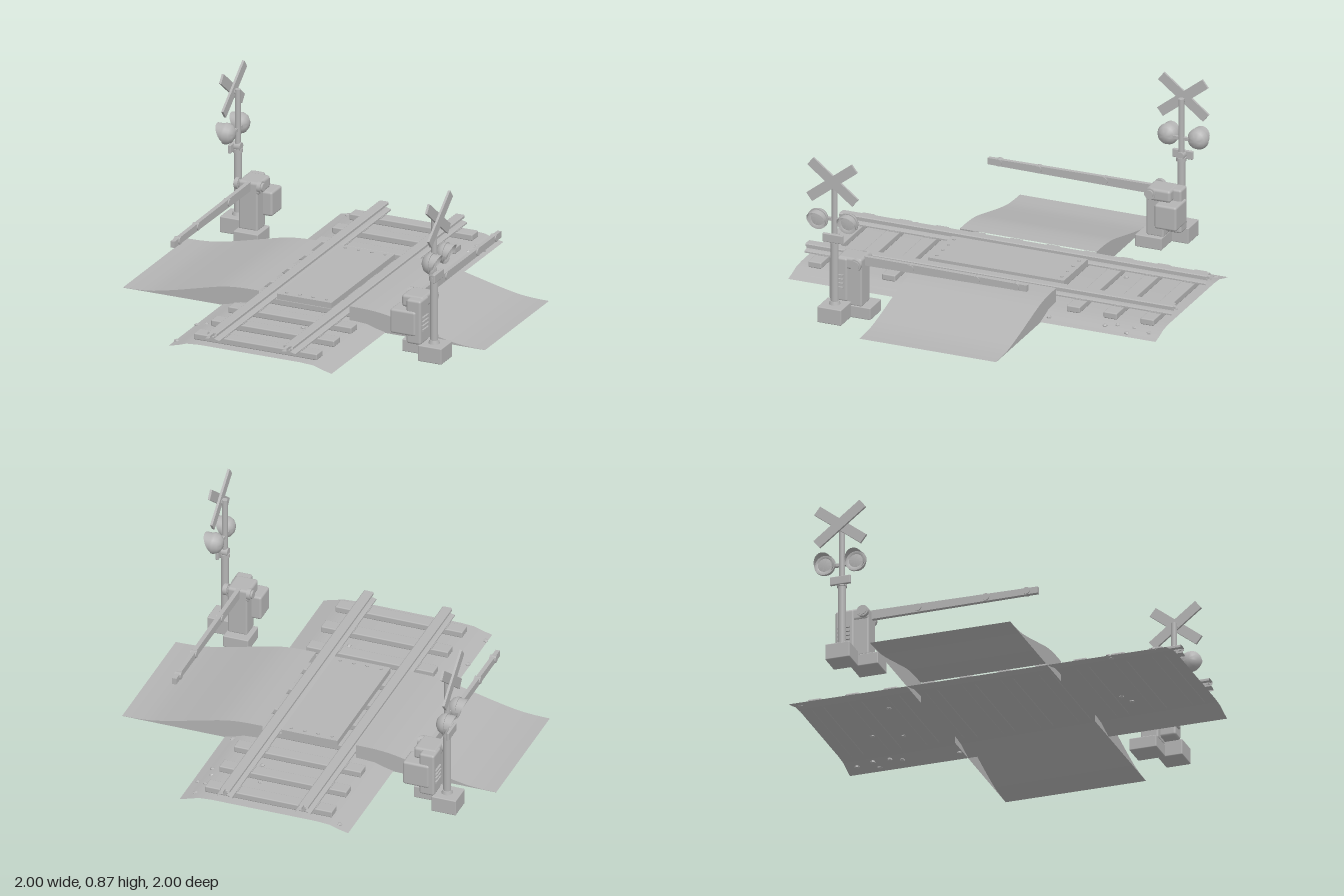
import * as THREE from 'three';
import { RoundedBoxGeometry } from 'three/addons/geometries/RoundedBoxGeometry.js';
import { toCreasedNormals } from 'three/addons/utils/BufferGeometryUtils.js';

const grey = new THREE.MeshStandardMaterial({ color: 0xb4b4b4, side: THREE.DoubleSide });
grey.name = 'plain grey';

function add(parent, name, geometry, x = 0, y = 0, z = 0) {
  const mesh = new THREE.Mesh(geometry, grey);
  mesh.name = name;
  mesh.position.set(x, y, z);
  parent.add(mesh);
  return mesh;
}

// Box given by its limits, with softened edges if r > 0
function box(parent, name, x0, x1, y0, y1, z0, z1, r = 0) {
  const size = [x1 - x0, y1 - y0, z1 - z0];
  const geo = r ? new RoundedBoxGeometry(...size, 2, r) : new THREE.BoxGeometry(...size);
  return add(parent, name, geo, (x0 + x1) / 2, (y0 + y1) / 2, (z0 + z1) / 2);
}

// Cylinder along the x axis
function disc(parent, name, r, length, x, y, z, sides = 20) {
  const geo = new THREE.CylinderGeometry(r, r, length, sides).rotateZ(Math.PI / 2);
  return add(parent, name, geo, x, y, z);
}

// Open sheet: a profile of [x, y] points swept along z
function sheet(profile, z0, z1) {
  const n = profile.length;
  const geo = new THREE.PlaneGeometry(1, 1, n - 1, 1);
  const pos = geo.attributes.position;
  for (let i = 0; i < pos.count; i++) {
    const [x, y] = profile[i % n];
    pos.setXYZ(i, x, y, i < n ? z0 : z1);
  }
  return toCreasedNormals(geo, 0.5);
}

function buildTrack(parent) {
  const track = new THREE.Group();
  track.name = 'track';
  parent.add(track);

  add(track, 'ballastBed', sheet([[-0.45, 0.003], [-0.4, 0.015], [-0.35, 0.031], [-0.28, 0.036],
    [0.28, 0.036], [0.35, 0.031], [0.4, 0.015], [0.45, 0.003]], -1, 1));

  for (let i = 0; i < 10; i++) {
    const z = -0.905 + i * 0.2011;
    box(track, 'sleeper', -0.34, 0.34, 0.034, 0.068, z - 0.036, z + 0.036, 0.006);
    for (const s of [-1, 1]) {
      box(track, 'tiePlate', s * 0.21 - 0.044, s * 0.21 + 0.044, 0.066, 0.072, z - 0.03, z + 0.03);
    }
  }

  // Rails are open at the ends
  const half = [[0.04, 0.068], [0.04, 0.075], [0.01, 0.082], [0.01, 0.094], [0.026, 0.097], [0.026, 0.108], [0.021, 0.112]];
  const rail = [...half.map(([x, y]) => [-x, y]), ...[...half].reverse()];
  for (const x of [-0.21, 0.21]) add(track, 'rail', sheet(rail, -1, 1), x);

  // Panel between the rails, with bolts at both ends
  box(track, 'crossingPanel', -0.15, 0.15, 0.08, 0.11, -0.37, 0.37);
  for (const z of [-0.34, 0.34]) {
    for (let i = 0; i < 4; i++) {
      add(track, 'panelBolt', new THREE.CylinderGeometry(0.009, 0.009, 0.006, 8), -0.11 + i * 0.073, 0.112, z);
    }
  }

  // Loose stones
  const stones = [[-0.39, -0.96], [0.39, -0.94], [0.37, -0.85], [0.42, -0.83], [0.37, -0.76],
    [0.39, -0.7], [0.4, -0.4], [0.11, -0.76], [0.16, -0.61], [-0.17, -0.57], [0.09, 0.57],
    [0.16, 0.6], [-0.44, 0.69], [-0.39, 0.69], [-0.44, 0.93]];
  stones.forEach(([x, z], i) => {
    const y = Math.abs(x) < 0.3 ? 0.036 : 0.036 - (Math.abs(x) - 0.3) * 0.21;
    const stone = add(track, 'stone', new THREE.DodecahedronGeometry(0.014), x, y, z);
    stone.scale.y = 0.7;
    stone.rotation.y = i * 1.3;
  });
}

// Curved approach road on the +x side
function buildRamp(parent) {
  const ramp = new THREE.Group();
  ramp.name = 'roadRamp';
  parent.add(ramp);
  const curve = new THREE.CatmullRomCurve3([[0.25, 0.11], [0.36, 0.108], [0.45, 0.098], [0.58, 0.068],
    [0.72, 0.034], [0.84, 0.01], [0.92, 0.003], [1, 0.001]].map(([x, y]) => new THREE.Vector3(x, y, 0)));
  const profile = curve.getPoints(24).map((p) => [p.x, p.y]);
  add(ramp, 'roadSurface', sheet(profile, -0.372, 0.372));
  const side = new THREE.Shape([[0.25, 0], ...profile, [1, 0]].map(([x, y]) => new THREE.Vector2(x, y)));
  for (const s of [-1, 1]) {
    const wall = add(ramp, 'roadSide', new THREE.ShapeGeometry(side), 0, 0, s * 0.372);
    if (s < 0) wall.geometry.scale(1, 1, -1);
  }
  return ramp;
}

// Post with crossed boards and two hooded lamps facing +x
function buildSignal(parent) {
  const signal = new THREE.Group();
  signal.name = 'signal';
  signal.position.set(0.82, 0, 0.585);
  parent.add(signal);
  box(signal, 'signalBase', -0.06, 0.07, 0, 0.085, -0.065, 0.065, 0.005);
  add(signal, 'post', new THREE.CylinderGeometry(0.015, 0.015, 0.67, 16), 0, 0.42, 0);
  add(signal, 'postSleeve', new THREE.CylinderGeometry(0.02, 0.02, 0.35, 16), 0, 0.255, 0);
  add(signal, 'postFoot', new THREE.CylinderGeometry(0.024, 0.03, 0.02, 16), 0, 0.092, 0);
  add(signal, 'postCollar', new THREE.CylinderGeometry(0.026, 0.026, 0.02, 16), 0, 0.43, 0);
  box(signal, 'signalPlate', 0.014, 0.03, 0.425, 0.47, -0.055, 0.055, 0.004);
  disc(signal, 'plateClamp', 0.022, 0.04, 0, 0.45, 0);

  for (const s of [-1, 1]) {
    const board = add(signal, 'crossBoard', new THREE.BoxGeometry(0.012, 0.052, 0.31), 0.026 + s * 0.006, 0.753, 0);
    board.rotation.x = s * 0.66;
  }
  disc(signal, 'boardBracket', 0.014, 0.03, 0.015, 0.74, 0);

  box(signal, 'lampBar', -0.008, 0.008, 0.534, 0.55, -0.12, 0.12);
  for (const z of [-0.082, 0.082]) {
    const lamp = new THREE.Group();
    lamp.name = 'lamp';
    lamp.position.set(0, 0.542, z);
    signal.add(lamp);
    const bowl = [[0, -0.022], [0.026, -0.018], [0.045, -0.004], [0.055, 0.018], [0.055, 0.03], [0.044, 0.03], [0.036, 0.026], [0, 0.032]];
    const body = new THREE.LatheGeometry(bowl.map(([r, y]) => new THREE.Vector2(r, y)), 24);
    add(lamp, 'lampBody', toCreasedNormals(body.rotateZ(-Math.PI / 2), 0.6));
    // Hood: a half tube that reaches further at the top
    const hood = new THREE.CylinderGeometry(0.05, 0.05, 0.05, 24, 1, true).rotateZ(-Math.PI / 2);
    const p = hood.attributes.position;
    for (let i = 0; i < p.count; i++) {
      const reach = p.getX(i) > 0 ? 0.05 + p.getY(i) * 0.5 : 0.025;
      p.setX(i, reach);
    }
    hood.computeVertexNormals();
    add(lamp, 'lampHood', hood);
  }
}

// Cabinet, column and lowered arm of the gate
function buildGate(parent) {
  const gate = new THREE.Group();
  gate.name = 'gate';
  parent.add(gate);
  box(gate, 'gateBase', 0.63, 0.765, 0, 0.065, 0.415, 0.56, 0.005);
  box(gate, 'gateColumn', 0.655, 0.76, 0.06, 0.31, 0.465, 0.56, 0.01);
  box(gate, 'gateHead', 0.645, 0.765, 0.255, 0.32, 0.465, 0.6, 0.015);
  box(gate, 'controlCabinet', 0.605, 0.745, 0.125, 0.255, 0.53, 0.65, 0.012);
  box(gate, 'motorHousing', 0.69, 0.77, 0.08, 0.315, 0.54, 0.64, 0.012);
  for (let i = 0; i < 4; i++) {
    const y = 0.15 + i * 0.022;
    box(gate, 'ventSlat', 0.765, 0.78, y, y + 0.01, 0.56, 0.625);
  }
  disc(gate, 'pivotShaft', 0.022, 0.16, 0.71, 0.293, 0.49);
  disc(gate, 'pivotCap', 0.03, 0.02, 0.775, 0.293, 0.49);
  disc(gate, 'pivotCap', 0.03, 0.02, 0.65, 0.293, 0.49);

  // Tapered arm with small lamps
  const arm = new THREE.BoxGeometry(0.022, 1, 0.89);
  const p = arm.attributes.position;
  for (let i = 0; i < p.count; i++) p.setY(i, Math.sign(p.getY(i)) * (p.getZ(i) > 0 ? 0.024 : 0.017));
  add(gate, 'gateArm', arm, 0.705, 0.295, 0.03);
  for (const z of [0.22, -0.14, -0.355]) disc(gate, 'armLamp', 0.019, 0.034, 0.705, 0.297, z, 16);
}

export function createModel() {
  const model = new THREE.Group();
  model.name = 'levelCrossing';
  buildTrack(model);
  // The second half is the first turned by half a circle
  for (const turn of [0, Math.PI]) {
    const half = new THREE.Group();
    half.name = turn ? 'rightSide' : 'leftSide';
    half.rotation.y = turn;
    model.add(half);
    buildRamp(half);
    buildSignal(half);
    buildGate(half);
  }
  return model;
}
